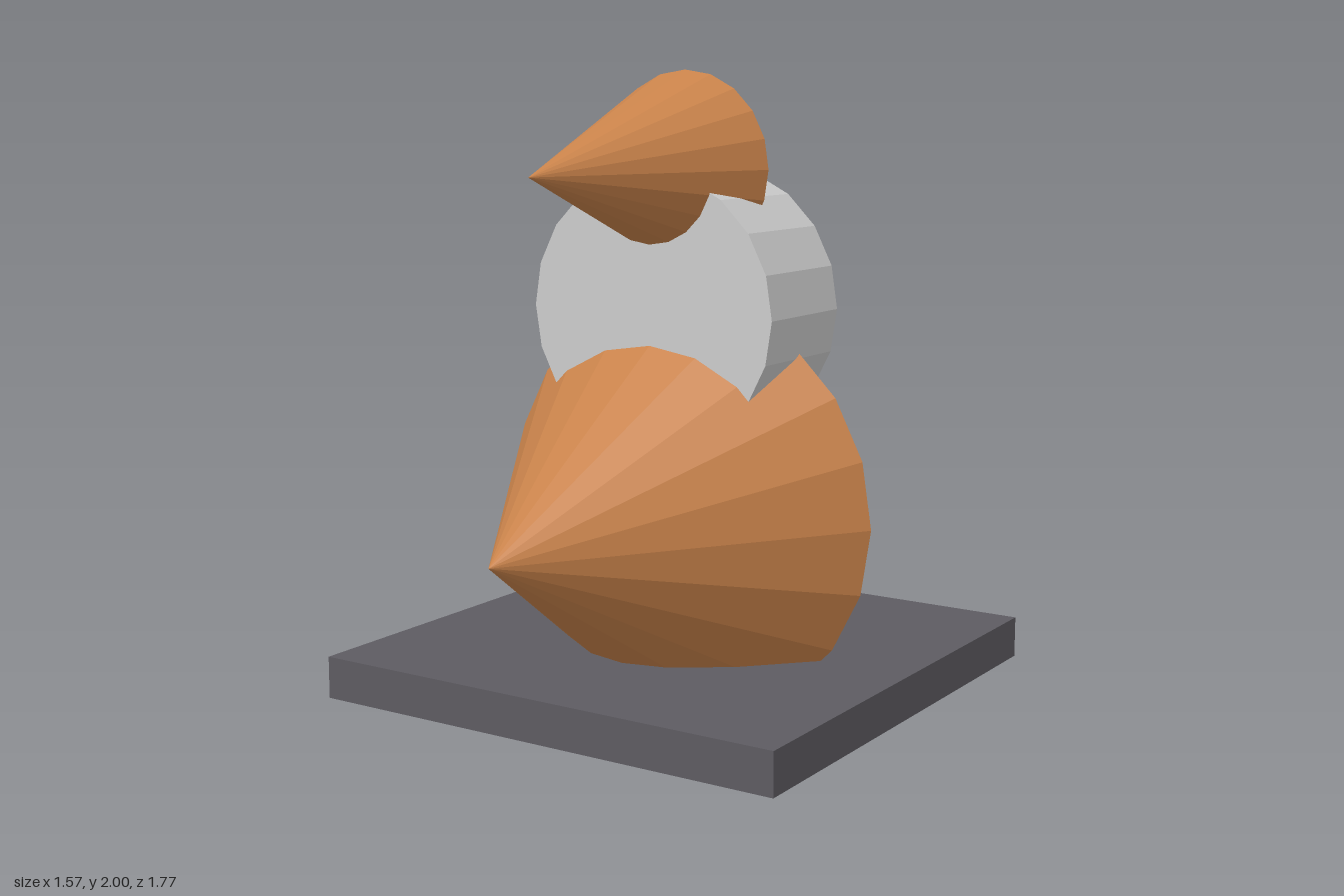
import * as THREE from 'three';

const SIDES = 20;

function material(color) {
  return new THREE.MeshStandardMaterial({ color, flatShading: true });
}

export function createModel() {
  const model = new THREE.Group();
  const brown = material(0xc8824a);
  const grey = material(0xcccccc);
  const dark = material(0x5d5b61);

  function add(name, geometry, mat, y, z) {
    const mesh = new THREE.Mesh(geometry, mat);
    mesh.name = name;
    mesh.position.set(0, y, z);
    model.add(mesh);
  }

  // Round part lying along z, from a back plane to a front plane
  function addRound(name, frontRadius, backRadius, y, back, front, mat) {
    const length = front - back;
    const geometry = frontRadius > 0
      ? new THREE.CylinderGeometry(frontRadius, backRadius, length, SIDES)
      : new THREE.ConeGeometry(backRadius, length, SIDES);
    geometry.rotateX(Math.PI / 2);
    add(name, geometry, mat, y, (front + back) / 2);
  }

  // Square base plate, pierced by the lower cone
  add('basePlate', new THREE.BoxGeometry(1.57, 0.13, 1.57), dark, 0.166, -0.098);

  // Body cone, middle drum and head cone, stacked upwards
  addRound('bodyCone', 0, 0.655, 0.655, -0.098, 0.885, brown);
  addRound('middleDrum', 0.425, 0.425, 1.28, -0.295, 0.098, grey);
  addRound('headCone', 0, 0.295, 1.705, -0.098, 0.688, brown);

  return model;
}
